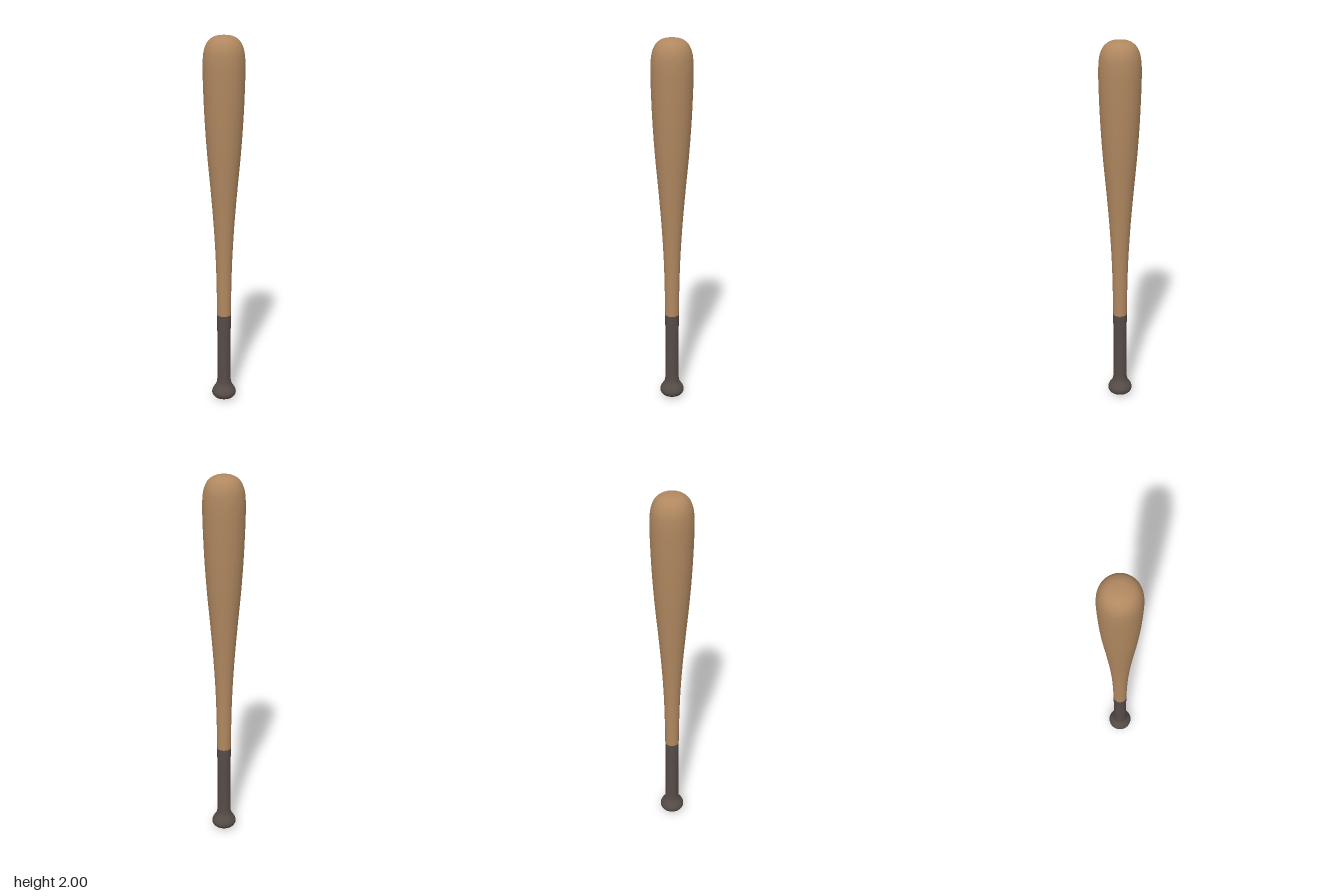
import * as THREE from 'three';

const wood = new THREE.MeshStandardMaterial({ color: 0xb08860 });
wood.name = 'wood';
const gripWrap = new THREE.MeshStandardMaterial({ color: 0x564c47 });
gripWrap.name = 'dark grip';

// Turns a smooth profile of [radius, height] points around the y axis
function turned(name, profile, steps, material) {
  const curve = new THREE.SplineCurve(profile.map(([r, y]) => new THREE.Vector2(r, y)));
  const points = curve.getPoints(steps);
  points.forEach((p) => { p.x = Math.max(p.x, 0); });
  const mesh = new THREE.Mesh(new THREE.LatheGeometry(points, 48), material);
  mesh.name = name;
  return mesh;
}

export function createModel() {
  const bat = new THREE.Group();
  bat.name = 'bat';

  // Rounded knob at the foot, flaring into the handle
  bat.add(turned('knob', [
    [0, 0], [0.03, 0.002], [0.052, 0.01], [0.064, 0.025], [0.066, 0.04],
    [0.06, 0.057], [0.048, 0.075], [0.04, 0.093], [0.037, 0.12],
  ], 40, gripWrap));

  // Straight wrapped handle
  bat.add(turned('grip', [[0.037, 0.12], [0.0365, 0.3], [0.038, 0.495]], 8, gripWrap));

  // Tapered barrel with a domed end
  bat.add(turned('barrel', [
    [0.038, 0.495], [0.039, 0.6], [0.044, 0.8], [0.055, 1.0], [0.071, 1.2],
    [0.089, 1.4], [0.102, 1.6], [0.109, 1.8], [0.107, 1.89], [0.097, 1.94],
    [0.076, 1.975], [0.042, 1.995], [0, 2],
  ], 96, wood));

  return bat;
}
